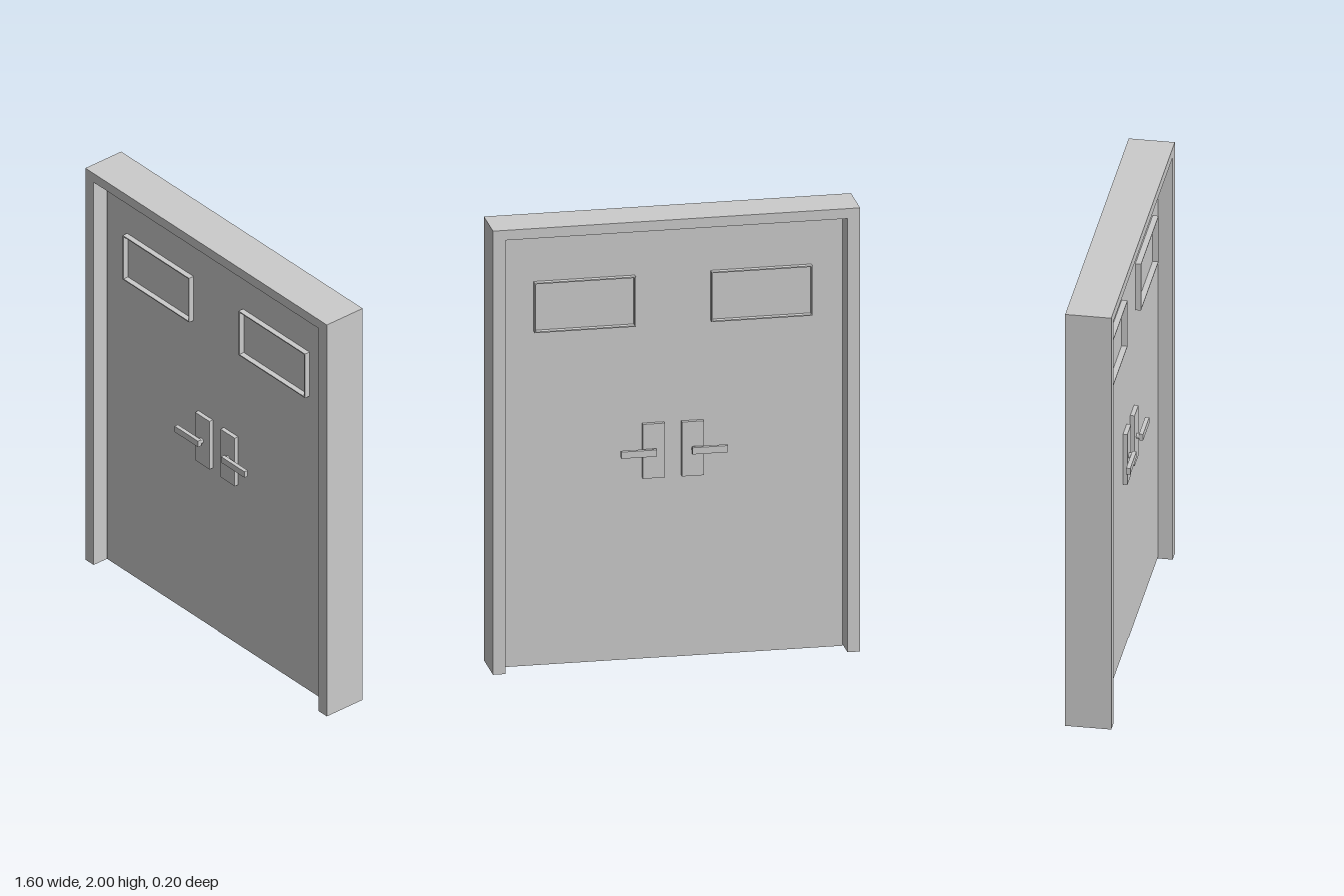
import * as THREE from 'three';

const material = new THREE.MeshStandardMaterial({ color: 0xcccccc });
const CENTER = 0.005; // the pair of leaves sits slightly off centre
const FACE = 0.037;   // half thickness of a leaf

function box(name, w, h, d, x, y, z) {
  const mesh = new THREE.Mesh(new THREE.BoxGeometry(w, h, d), material);
  mesh.name = name;
  mesh.position.set(x, y, z);
  return mesh;
}

function extrude(name, shape, depth, z) {
  const geometry = new THREE.ExtrudeGeometry(shape, { depth, bevelEnabled: false });
  const mesh = new THREE.Mesh(geometry, material);
  mesh.name = name;
  mesh.position.z = z;
  return mesh;
}

function rectangle(Type, x0, y0, x1, y1) {
  const path = new Type();
  path.moveTo(x0, y0);
  path.lineTo(x1, y0);
  path.lineTo(x1, y1);
  path.lineTo(x0, y1);
  path.closePath();
  return path;
}

// Two jambs and a head, open at the floor
function doorFrame() {
  const points = [[-0.8, 0], [-0.745, 0], [-0.745, 1.955], [0.745, 1.955],
    [0.745, 0], [0.8, 0], [0.8, 2], [-0.8, 2]];
  const shape = new THREE.Shape(points.map(([x, y]) => new THREE.Vector2(x, y)));
  return extrude('doorFrame', shape, 0.2, -0.1);
}

// Thin raised trim around a window, standing proud of both faces
function windowTrim(side) {
  const [a, b] = [side * 0.165, side * 0.605].sort((p, q) => p - q);
  const t = 0.005;
  const shape = rectangle(THREE.Shape, a, 1.515, b, 1.74);
  shape.holes.push(rectangle(THREE.Path, a + t, 1.515 + t, b - t, 1.74 - t));
  return extrude('windowTrim', shape, 0.124, -0.062);
}

// Backplate, spindle and lever on one face of a leaf
function handle(side, face) {
  const group = new THREE.Group();
  group.name = face > 0 ? 'frontHandle' : 'backHandle';
  group.add(box('backplate', 0.095, 0.245, 0.02, side * 0.085, 0.948, face * (FACE + 0.009)));
  const spindle = new THREE.Mesh(new THREE.CylinderGeometry(0.012, 0.012, 0.025, 16), material);
  spindle.name = 'spindle';
  spindle.rotation.x = Math.PI / 2;
  spindle.position.set(side * 0.09, 0.947, face * 0.063);
  group.add(spindle);
  group.add(box('lever', 0.155, 0.03, 0.018, side * 0.155, 0.947, face * 0.077));
  return group;
}

// One leaf with its window and a handle on each face
function doorLeaf(side) {
  const leaf = new THREE.Group();
  leaf.name = side > 0 ? 'leftDoor' : 'rightDoor';
  leaf.add(box('panel', 0.74, 1.945, FACE * 2, side * 0.37, 0.9825, 0));
  leaf.add(windowTrim(side));
  for (const face of [1, -1]) leaf.add(handle(side, face));
  leaf.position.set(CENTER, 0, side > 0 ? 0 : -0.002);
  return leaf;
}

export function createModel() {
  const model = new THREE.Group();
  model.name = 'doubleDoor';
  model.add(doorFrame(), doorLeaf(-1), doorLeaf(1));
  return model;
}
